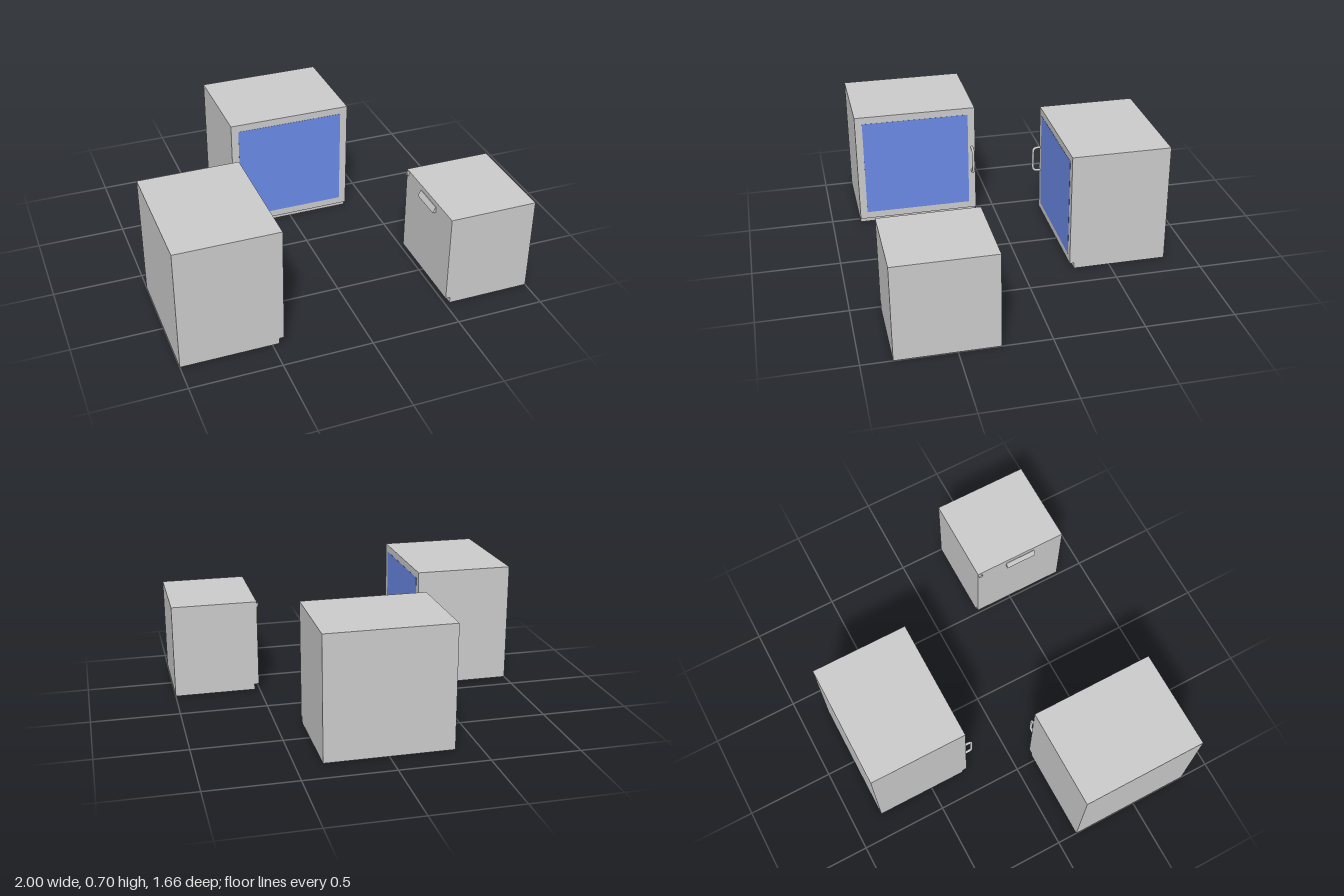
import * as THREE from 'three';

const grey = new THREE.MeshStandardMaterial({ color: 0xcccccc });
const blue = new THREE.MeshStandardMaterial({ color: 0x6a8ae7 });

function add(group, name, geometry, material = grey) {
  const mesh = new THREE.Mesh(geometry, material);
  mesh.name = name;
  group.add(mesh);
  return mesh;
}

// Extrudes a side profile of [z, y] points across x, centred on x = 0
function extrudeSide(points, width) {
  const shape = new THREE.Shape(points.map(([z, y]) => new THREE.Vector2(z, y)));
  const geo = new THREE.ExtrudeGeometry(shape, { depth: width, bevelEnabled: false });
  return geo.rotateY(-Math.PI / 2).translate(width / 2, 0, 0);
}

// Cabinet with a toe kick; its front lies on local z = 0
function cabinetBody(width, height, depth) {
  const kickHeight = 0.034, kickDepth = 0.026;
  return extrudeSide([
    [-depth, 0], [-kickDepth, 0], [-kickDepth, kickHeight],
    [0, kickHeight], [0, height], [-depth, height],
  ], width);
}

// Bow handle: a tube with two rounded corners
function bowHandle() {
  const y0 = 0.292, y1 = 0.444, out = 0.045, r = 0.028;
  const v = (y, z) => new THREE.Vector3(0, y, z);
  const path = new THREE.CurvePath();
  path.add(new THREE.LineCurve3(v(y0, -0.005), v(y0, out - r)));
  path.add(new THREE.QuadraticBezierCurve3(v(y0, out - r), v(y0, out), v(y0 + r, out)));
  path.add(new THREE.LineCurve3(v(y0 + r, out), v(y1 - r, out)));
  path.add(new THREE.QuadraticBezierCurve3(v(y1 - r, out), v(y1, out), v(y1, out - r)));
  path.add(new THREE.LineCurve3(v(y1, out - r), v(y1, -0.005)));
  return new THREE.TubeGeometry(path, 60, 0.008, 12);
}

// Large cabinet with a window; handleSide is -1 or 1 along local x
function largeCabinet(name, handleSide) {
  const unit = new THREE.Group();
  unit.name = name;
  add(unit, 'cabinetBody', cabinetBody(0.715, 0.702, 0.565));
  add(unit, 'windowPanel', new THREE.BoxGeometry(0.63, 0.584, 0.004), blue)
    .position.set(0, 0.368, -0.001);
  add(unit, 'doorHandle', bowHandle()).position.x = handleSide * 0.337;
  return unit;
}

// Small cabinet with a flared pull and a round button
function smallCabinet() {
  const unit = new THREE.Group();
  unit.name = 'smallCabinet';
  add(unit, 'cabinetBody', cabinetBody(0.559, 0.547, 0.497));
  add(unit, 'flaredPull', extrudeSide(
    [[-0.002, 0.483], [0.018, 0.483], [0.018, 0.487], [0.003, 0.518], [-0.002, 0.518]], 0.185));
  add(unit, 'button', new THREE.CylinderGeometry(0.013, 0.013, 0.012, 24).rotateX(Math.PI / 2))
    .position.set(-0.265, 0.525, 0.003);
  return unit;
}

export function createModel() {
  const model = new THREE.Group();
  model.name = 'cabinetSet';

  const back = largeCabinet('backCabinet', -1);
  back.position.set(-0.004, 0, -0.267);

  const side = largeCabinet('sideCabinet', 1);
  side.position.set(-0.435, 0, 0.4745);
  side.rotation.y = Math.PI / 2;

  const small = smallCabinet();
  small.position.set(0.503, 0, 0.5525);
  small.rotation.y = -Math.PI / 2;

  model.add(back, side, small);
  return model;
}
